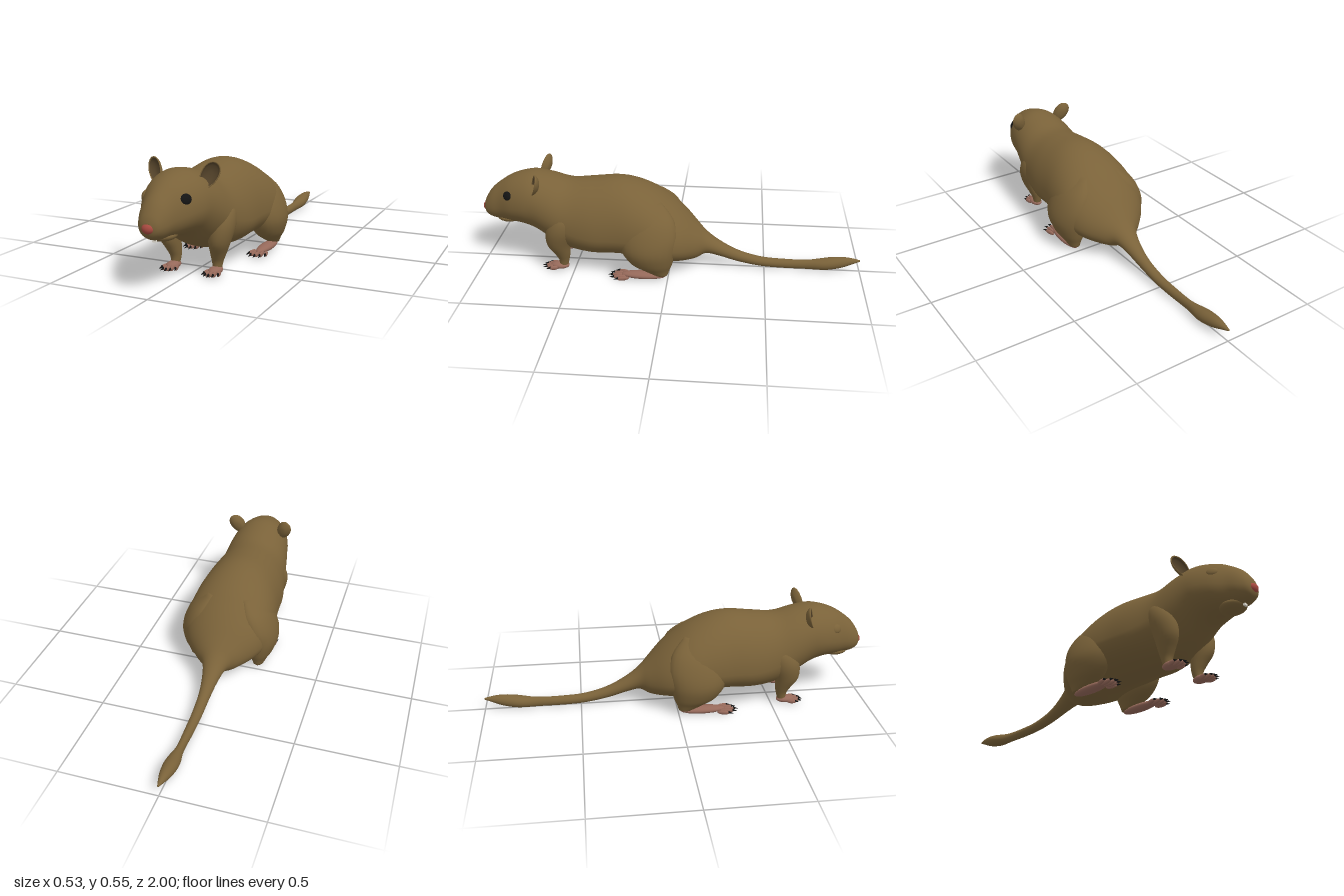
import * as THREE from 'three';

const mat = (color) => new THREE.MeshStandardMaterial({ color });
const FUR = mat(0x7a6239), SKIN = mat(0x96695a), DARK = mat(0x141414);
const EAR = mat(0x54432a), NOSE = mat(0xa84a40), TOOTH = mat(0xe8e4d8);

// Smoothly resample rows of section values
function refine(rows, sub) {
  const out = [];
  for (let i = 0; i < rows.length - 1; i++) {
    const p = rows[Math.max(i - 1, 0)], a = rows[i], b = rows[i + 1], n = rows[Math.min(i + 2, rows.length - 1)];
    for (let k = 0; k < sub; k++) {
      const t = k / sub;
      out.push(a.map((v, c) => {
        const m0 = (b[c] - p[c]) / 2, m1 = (n[c] - v) / 2;
        return v + m0 * t + (3 * (b[c] - v) - 2 * m0 - m1) * t * t + (2 * (v - b[c]) + m0 + m1) * t * t * t;
      }));
    }
  }
  out.push(rows[rows.length - 1]);
  return out;
}

// Skin closed rings; point(section, angle) gives one position
function loft(rows, seg, point) {
  const pos = [], idx = [], n = rows.length;
  rows.forEach((r) => {
    for (let j = 0; j < seg; j++) pos.push(...point(r, (j / seg) * Math.PI * 2));
  });
  for (let i = 0; i < n - 1; i++) {
    for (let j = 0; j < seg; j++) {
      const a = i * seg + j, b = i * seg + (j + 1) % seg;
      idx.push(a, a + seg, b, b, a + seg, b + seg);
    }
  }
  // end caps
  [0, n - 1].forEach((i) => {
    const c = [0, 0, 0], id = pos.length / 3;
    for (let j = 0; j < seg; j++) for (let k = 0; k < 3; k++) c[k] += pos[(i * seg + j) * 3 + k] / seg;
    pos.push(...c);
    for (let j = 0; j < seg; j++) {
      const a = i * seg + j, b = i * seg + (j + 1) % seg;
      idx.push(...(i === 0 ? [id, a, b] : [id, b, a]));
    }
  });
  const g = new THREE.BufferGeometry();
  g.setAttribute('position', new THREE.Float32BufferAttribute(pos, 3));
  g.setIndex(idx);
  g.computeVertexNormals();
  return g;
}

function add(parent, name, geo, material, p = [0, 0, 0]) {
  const m = new THREE.Mesh(geo, material);
  m.name = name;
  m.position.set(...p);
  parent.add(m);
  return m;
}

function blob(parent, name, material, p, r, seg = 20) {
  return add(parent, name, new THREE.SphereGeometry(1, seg, Math.ceil(seg * 0.7)).scale(...r), material, p);
}

// Limb from horizontal ellipses: [y, x, z, rx, rz]
function limb(parent, name, s, rows) {
  const geo = loft(refine(rows, 4), 24, ([y, x, z, rx, rz], a) => [s * x + rx * Math.cos(a), y, z + rz * Math.sin(a)]);
  return add(parent, name, geo, FUR);
}

// Fanned toes with claws
function toes(parent, s, x, z, count, spread, len, claw) {
  for (let i = 0; i < count; i++) {
    const t = (i / (count - 1)) * 2 - 1, reach = len * (1 - 0.3 * t * t);
    const toe = new THREE.Group();
    toe.name = 'toe';
    toe.position.set(s * (x + t * spread), 0.017, z - 0.012 * t * t);
    toe.rotation.y = s * t * 0.25;
    blob(toe, 'toePad', SKIN, [0, 0, reach / 2], [0.0085, 0.012, reach / 2 + 0.012], 10);
    const c = add(toe, 'claw', new THREE.ConeGeometry(0.005, claw, 8).rotateX(Math.PI / 2 + 0.15), DARK, [0, 0, reach + claw / 2 + 0.004]);
    c.scale.y = 1.5;
    parent.add(toe);
  }
}

export function createModel() {
  const root = new THREE.Group();
  root.name = 'rodent';

  // Head, trunk and tail: [z, top, bottom, half width, height fraction of the widest point]
  const sections = [
    [0.988, 0.325, 0.285, 0.02, 0.5], [0.975, 0.36, 0.262, 0.047, 0.45],
    [0.94, 0.41, 0.245, 0.07, 0.42], [0.89, 0.452, 0.24, 0.09, 0.42],
    [0.83, 0.488, 0.235, 0.123, 0.42], [0.76, 0.51, 0.225, 0.148, 0.44],
    [0.7, 0.515, 0.2, 0.16, 0.48], [0.62, 0.5, 0.15, 0.176, 0.47],
    [0.52, 0.476, 0.105, 0.192, 0.4], [0.4, 0.485, 0.09, 0.213, 0.35],
    [0.28, 0.496, 0.094, 0.22, 0.34], [0.18, 0.48, 0.092, 0.23, 0.35],
    [0.08, 0.438, 0.08, 0.235, 0.36], [0, 0.383, 0.065, 0.222, 0.38],
    [-0.07, 0.322, 0.06, 0.185, 0.42], [-0.14, 0.248, 0.063, 0.12, 0.47],
    [-0.19, 0.198, 0.082, 0.068, 0.5], [-0.26, 0.147, 0.065, 0.044, 0.5],
    [-0.36, 0.095, 0.034, 0.03, 0.5], [-0.48, 0.062, 0.012, 0.026, 0.5],
    [-0.6, 0.054, 0.005, 0.023, 0.5], [-0.72, 0.055, 0.004, 0.02, 0.5],
    [-0.8, 0.066, 0.005, 0.033, 0.5], [-0.85, 0.075, 0.01, 0.035, 0.5],
    [-0.91, 0.08, 0.024, 0.028, 0.5], [-0.96, 0.076, 0.044, 0.016, 0.5],
    [-1, 0.068, 0.06, 0.004, 0.5],
  ];
  const skin = loft(refine(sections, 4), 48, ([z, top, bot, hw, f], a) => {
    const mid = bot + (top - bot) * f, s = Math.sin(a);
    return [hw * Math.cos(a), mid + s * (s > 0 ? top - mid : mid - bot), z];
  });
  add(root, 'body', skin, FUR);

  // Muzzle
  blob(root, 'nose', NOSE, [0, 0.304, 0.977], [0.03, 0.024, 0.023]);
  blob(root, 'chin', FUR, [0, 0.252, 0.86], [0.065, 0.028, 0.07]);
  add(root, 'tooth', new THREE.BoxGeometry(0.02, 0.022, 0.01), TOOTH, [0, 0.245, 0.93]);

  // Ear shell: rounded rim, hollow towards the front
  const v = (x, y) => new THREE.Vector2(x, y);
  const earBack = new THREE.LatheGeometry(new THREE.SplineCurve(
    [v(0, -0.6), v(0.5, -0.5), v(0.88, -0.15), v(1, 0.12), v(0.94, 0.2), v(0.88, 0.12)]).getPoints(20), 32);
  const earInside = new THREE.LatheGeometry(new THREE.SplineCurve(
    [v(0.89, 0.13), v(0.75, -0.12), v(0.4, -0.36), v(0, -0.42)]).getPoints(14), 32);
  const shapeEar = (g) => {
    g.rotateX(Math.PI / 2);
    const p = g.attributes.position;
    // narrow towards the base
    for (let i = 0; i < p.count; i++) p.setX(i, p.getX(i) * (1 + 0.15 * p.getY(i)));
    g.scale(0.04, 0.067, 0.04);
    g.computeVertexNormals();
  };
  [earBack, earInside].forEach(shapeEar);
  const twoSided = FUR.clone(), insideMat = EAR.clone();
  twoSided.side = insideMat.side = THREE.DoubleSide;

  for (const s of [1, -1]) {
    const side = s > 0 ? 'left' : 'right';

    const ear = new THREE.Group();
    ear.name = side + 'Ear';
    add(ear, 'earShell', earBack, twoSided);
    add(ear, 'earHollow', earInside, insideMat);
    ear.position.set(s * 0.134, 0.486, 0.68);
    ear.rotation.set(-0.2, s * 0.35, -s * 0.45);
    root.add(ear);

    // Only the left eye is dark
    const eye = blob(root, side + 'Eye', s > 0 ? DARK : FUR, [s * 0.1, 0.408, 0.833], [0.014, 0.025, 0.029]);
    eye.rotation.set(0, -s * 0.45, s * 0.4);

    // Front leg and paw
    limb(root, side + 'FrontLeg', s, [
      [0.022, 0.11, 0.56, 0.02, 0.022], [0.06, 0.11, 0.556, 0.027, 0.028],
      [0.1, 0.117, 0.562, 0.037, 0.042], [0.16, 0.13, 0.575, 0.05, 0.062],
      [0.24, 0.138, 0.56, 0.06, 0.075], [0.31, 0.135, 0.54, 0.05, 0.06], [0.36, 0.12, 0.53, 0.015, 0.02],
    ]);
    const paw = new THREE.Group();
    paw.name = side + 'FrontPaw';
    blob(paw, 'palm', SKIN, [s * 0.11, 0.022, 0.58], [0.031, 0.019, 0.05]);
    toes(paw, s, 0.11, 0.605, 5, 0.027, 0.042, 0.024);
    root.add(paw);

    // Haunch and hind foot
    limb(root, side + 'Haunch', s, [
      [0.03, 0.175, 0.035, 0.028, 0.035], [0.06, 0.175, 0.06, 0.045, 0.07],
      [0.1, 0.175, 0.085, 0.07, 0.11], [0.17, 0.174, 0.1, 0.089, 0.14],
      [0.25, 0.16, 0.1, 0.085, 0.148], [0.33, 0.128, 0.1, 0.072, 0.125], [0.4, 0.09, 0.1, 0.03, 0.06],
    ]);
    const foot = new THREE.Group();
    foot.name = side + 'HindFoot';
    blob(foot, 'sole', SKIN, [s * 0.176, 0.024, 0.125], [0.033, 0.02, 0.118]);
    toes(foot, s, 0.177, 0.22, 5, 0.031, 0.062, 0.028);
    root.add(foot);
  }
  return root;
}
